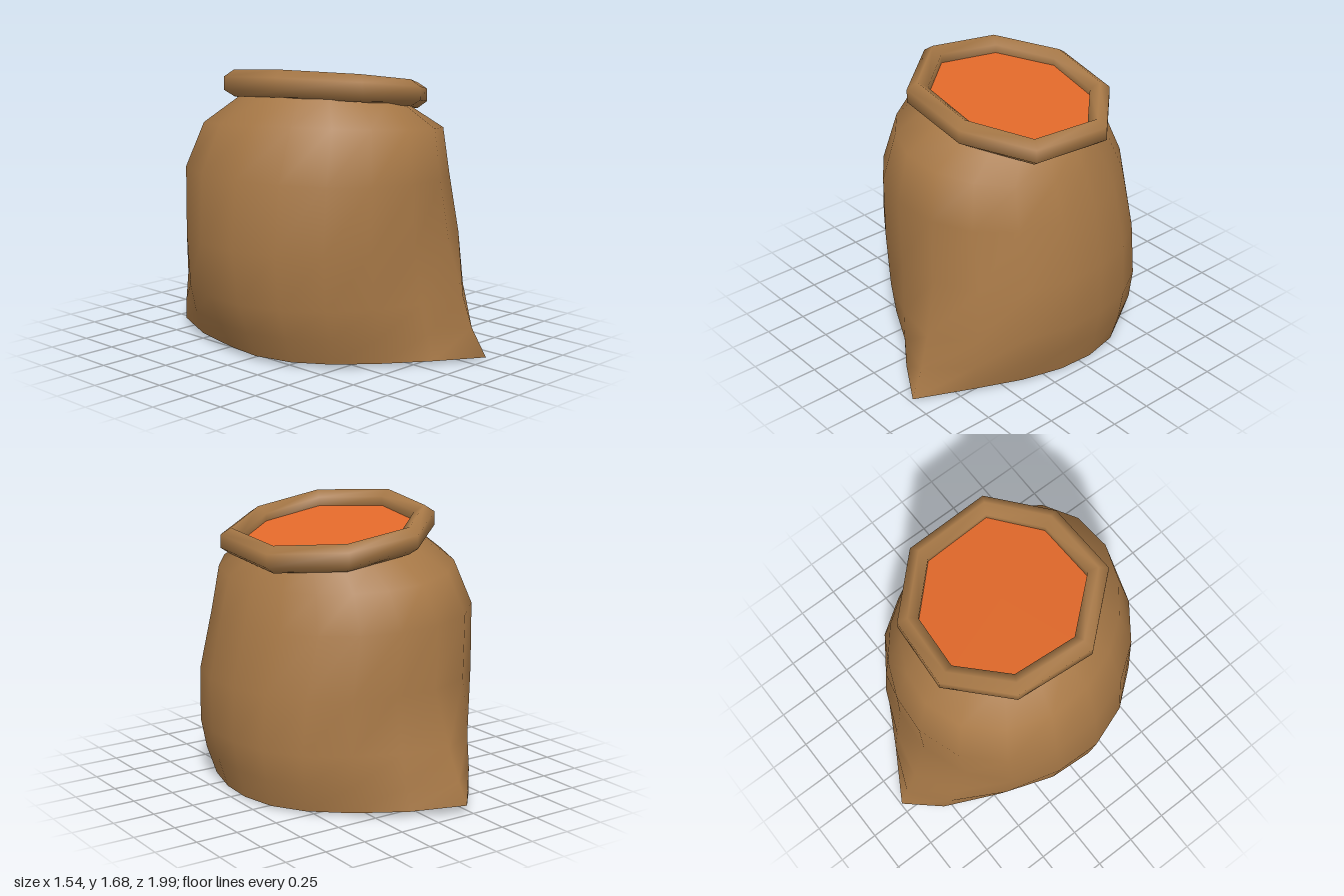
import * as THREE from 'three';

const RIM_CENTRE = [0.05, -0.01];
const rimHeight = (x, z) => 1.513 - 0.155 * (x - 0.04) + 0.07 * z;

// Skin a stack of closed loops (each counter-clockwise seen from above)
function loft(loops, closed = false) {
  const n = loops[0].length, m = loops.length, index = [];
  for (let r = 0; r < (closed ? m : m - 1); r++) {
    for (let i = 0; i < n; i++) {
      const j = (i + 1) % n, s = (r + 1) % m;
      const a = r * n + i, b = r * n + j, c = s * n + j, d = s * n + i;
      index.push(a, b, c, a, c, d);
    }
  }
  const g = new THREE.BufferGeometry().setFromPoints(loops.flat());
  g.setIndex(index);
  g.computeVertexNormals();
  return g;
}

// Fill a loop with a fan of triangles around a centre point
function fan(loop, centre, up) {
  const index = [];
  loop.forEach((p, i) => {
    const a = i + 1, b = ((i + 1) % loop.length) + 1;
    index.push(0, up ? a : b, up ? b : a);
  });
  const g = new THREE.BufferGeometry().setFromPoints([centre, ...loop]);
  g.setIndex(index);
  g.computeVertexNormals();
  return g;
}

// Angles around the bag, with one point exactly on each pinched corner
const HALF = 9, COUNT = 2 * HALF, FRONT_TIP = 20, BACK_TIP = 191;
const angles = [];
for (let i = 0; i < HALF; i++) angles.push(FRONT_TIP + (i * (BACK_TIP - FRONT_TIP)) / HALF);
for (let i = 0; i < HALF; i++) angles.push(BACK_TIP + (i * (FRONT_TIP + 360 - BACK_TIP)) / HALF);

// How strongly the points from two before to two after a corner are pulled out
const FRONT_PULL = [0.13, 0.48, 1, 0.4, 0.1];
const BACK_PULL = [0.15, 0.52, 1, 0.68, 0.3];
const pull = (table, i, tip) => table[(i - tip + 2 + COUNT) % COUNT] ?? 0;

// One cross-section: an ellipse, skewed and tilted, with two corners pulled out
function bagLoop({ y, x0, x1, z0, z1, front = 0, back = 0, skew = 0, bulge = 0, tx = 0, tz = 0, lift = 0 }) {
  const cx = (x0 + x1) / 2, rx = (x1 - x0) / 2, cz = (z0 + z1) / 2, rz = (z1 - z0) / 2;
  return angles.map((deg, i) => {
    const t = THREE.MathUtils.degToRad(deg), s2 = Math.sin(2 * t);
    const r = 1 + skew * s2 + (Math.sin(t) > 0 ? bulge * s2 * s2 : 0);
    const f = front * pull(FRONT_PULL, i, 0), b = back * pull(BACK_PULL, i, HALF);
    const x = cx + r * rx * Math.sin(t) + 0.08 * f - 0.14 * b;
    const z = cz + r * rz * Math.cos(t) + 0.37 * f - 0.352 * b;
    return new THREE.Vector3(x, y + tx * x + tz * z + lift * b * b, z);
  });
}

export function createModel() {
  const model = new THREE.Group();
  model.name = 'sack';

  const cloth = new THREE.MeshStandardMaterial({ color: 0xa87947 });
  cloth.name = 'brown cloth';
  const filling = new THREE.MeshStandardMaterial({ color: 0xe2692a });
  filling.name = 'orange filling';

  const add = (name, geometry, material) => {
    const mesh = new THREE.Mesh(geometry, material);
    mesh.name = name;
    model.add(mesh);
  };

  // Bag body, bottom to neck
  const loops = [
    { y: 0.02, x0: -0.58, x1: 0.70, z0: -0.66, z1: 0.65, front: 1, back: 1, bulge: 0.03, tx: -0.012, lift: 0.035 },
    { y: 0.18, x0: -0.655, x1: 0.74, z0: -0.70, z1: 0.70, front: 0.6, back: 0.71, skew: 0.01, bulge: 0.06 },
    { y: 0.36, x0: -0.725, x1: 0.775, z0: -0.72, z1: 0.72, front: 0.38, back: 0.42, skew: 0.02, bulge: 0.06 },
    { y: 0.68, x0: -0.775, x1: 0.775, z0: -0.74, z1: 0.74, front: 0.1, back: 0.05, skew: 0.035, bulge: 0.04 },
    { y: 1.05, x0: -0.74, x1: 0.70, z0: -0.765, z1: 0.755, skew: 0.05, tx: -0.04 },
    { y: 1.31, x0: -0.625, x1: 0.635, z0: -0.67, z1: 0.70, skew: 0.07, tx: -0.09, tz: 0.06 },
    { y: 1.45, x0: -0.45, x1: 0.54, z0: -0.51, z1: 0.50, tx: -0.155, tz: 0.07 },
    { y: 1.51, x0: -0.42, x1: 0.52, z0: -0.48, z1: 0.46, tx: -0.155, tz: 0.07 },
  ].map(bagLoop);
  add('bagBody', loft(loops), cloth);
  add('bagBottom', fan(loops[0], new THREE.Vector3(0.06, 0, 0), false), cloth);

  // Rolled eight-sided rim with a six-sided profile
  const path = [
    [-0.18, 0.485], [0.245, 0.49], [0.565, 0.265], [0.565, -0.2],
    [0.27, -0.495], [-0.125, -0.53], [-0.425, -0.275], [-0.47, 0.15],
  ];
  const rimLoop = (out, up) => path.map(([x, z]) => {
    const dx = x - RIM_CENTRE[0], dz = z - RIM_CENTRE[1], len = Math.hypot(dx, dz);
    return new THREE.Vector3(x + (dx / len) * out, rimHeight(x, z) + up, z + (dz / len) * out);
  });
  const SIDES = 6, rim = [];
  for (let k = 0; k < SIDES; k++) {
    const t = ((k + 0.5) / SIDES) * Math.PI * 2;
    rim.push(rimLoop(0.07 * Math.cos(t), 0.078 * Math.sin(t)));
  }
  add('rolledRim', loft(rim, true), cloth);

  // Contents filling the mouth
  const [cx, cz] = RIM_CENTRE;
  const centre = new THREE.Vector3(cx, rimHeight(cx, cz) - 0.005, cz);
  add('contents', fan(rimLoop(0, -0.005), centre, true), filling);

  return model;
}
